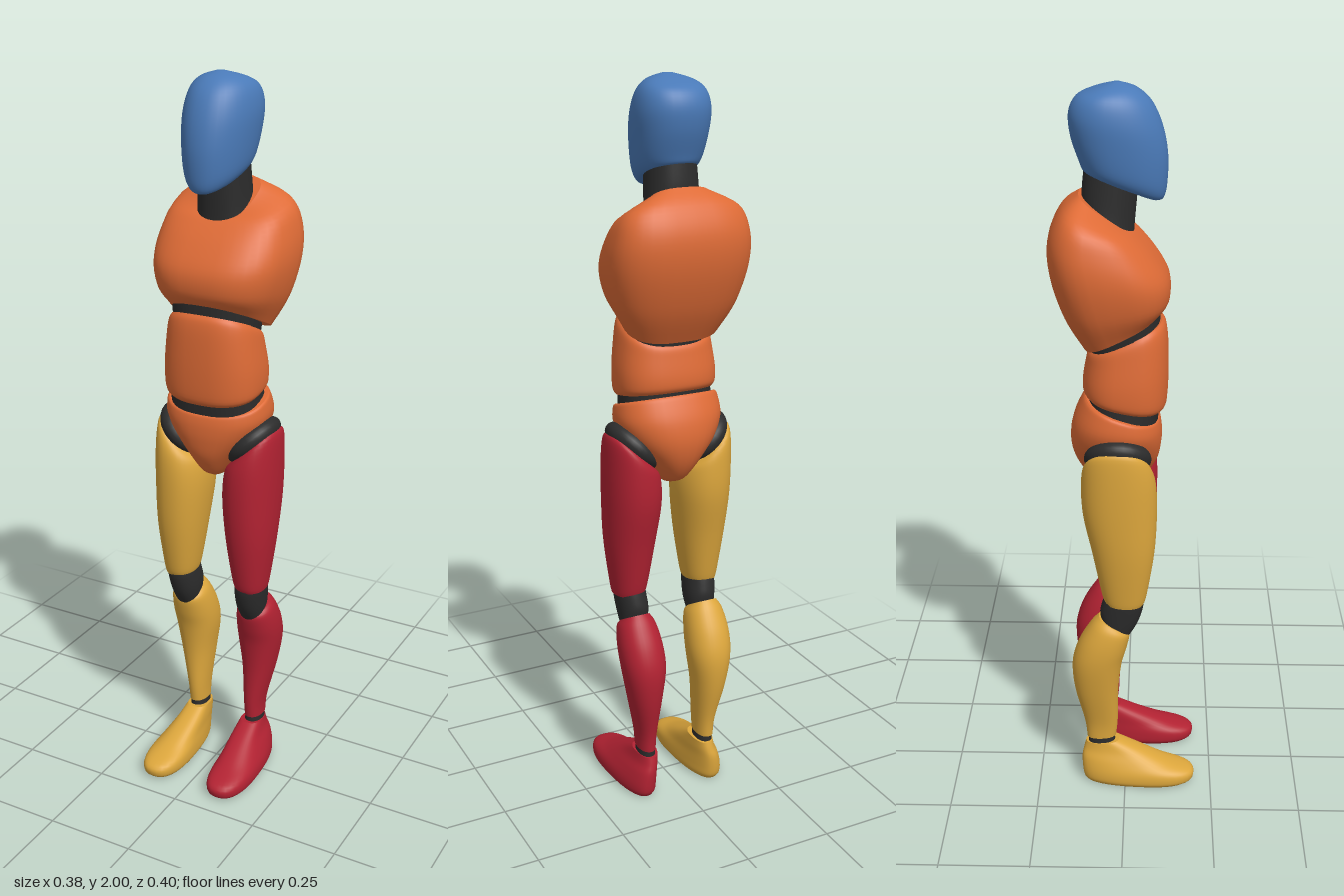
import * as THREE from 'three';

const mat = (name, color) => {
  const m = new THREE.MeshStandardMaterial({ color });
  m.name = name;
  return m;
};

// Smooth closed loft through rings listed bottom to top.
// Ring: [front y, front z, back y, back z, half width, centre x, sideways tilt]
// power: squareness of the section, taper: extra width towards the front.
function loft(rings, { side = 1, power = 2.2, taper = 0, segs = 36, steps = 5 } = {}) {
  const at = (i) => rings[Math.max(0, Math.min(rings.length - 1, i))];
  const spline = (a, b, c, d, t) =>
    b + 0.5 * t * (c - a + t * (2 * a - 5 * b + 4 * c - d + t * (3 * (b - c) + d - a)));
  const rows = [];
  for (let i = 0; i < rings.length - 1; i++) {
    for (let s = 0; s < steps; s++) {
      rows.push([0, 1, 2, 3, 4, 5, 6].map((k) =>
        spline(at(i - 1)[k] || 0, at(i)[k] || 0, at(i + 1)[k] || 0, at(i + 2)[k] || 0, s / steps)));
    }
  }
  rows.push([0, 1, 2, 3, 4, 5, 6].map((k) => at(rings.length - 1)[k] || 0));

  const pos = [], idx = [];
  const round = (v) => Math.sign(v) * Math.abs(v) ** (2 / power);
  const addRing = ([yF, zF, yB, zB, rx, cx, tilt]) => {
    const first = pos.length / 3;
    for (let j = 0; j < segs; j++) {
      const a = (j / segs) * Math.PI * 2;
      const c = round(Math.cos(a)), s = round(Math.sin(a));
      pos.push(
        side * cx + rx * c * (1 + taper * s),
        (yF + yB) / 2 + ((yF - yB) / 2) * s + side * tilt * c,
        (zF + zB) / 2 + ((zF - zB) / 2) * s);
    }
    return first;
  };
  rows.forEach((row, i) => {
    const b = addRing(row), a = b - segs;
    for (let j = 0; i > 0 && j < segs; j++) {
      const k = (j + 1) % segs;
      idx.push(a + j, b + j, b + k, a + j, b + k, a + k);
    }
  });
  // End caps with their own vertices, so their rims stay crisp
  for (const [row, top] of [[rows[0], false], [rows[rows.length - 1], true]]) {
    const f = addRing(row), c = pos.length / 3;
    pos.push(side * row[5], (row[0] + row[2]) / 2, (row[1] + row[3]) / 2);
    for (let j = 0; j < segs; j++) {
      const k = (j + 1) % segs;
      if (top) idx.push(c, f + k, f + j);
      else idx.push(c, f + j, f + k);
    }
  }
  const g = new THREE.BufferGeometry();
  g.setAttribute('position', new THREE.Float32BufferAttribute(pos, 3));
  g.setIndex(idx);
  g.computeVertexNormals();
  return g;
}

export function createModel() {
  const model = new THREE.Group();
  model.name = 'mannequin';
  const blue = mat('blue', 0x4a7ab8);
  const orange = mat('orange', 0xde6b36);
  const yellow = mat('yellow', 0xdca63c);
  const red = mat('red', 0xb22232);
  const dark = mat('charcoal', 0x2c2c2c);

  const add = (parent, name, material, geometry) => {
    const m = new THREE.Mesh(geometry, material);
    m.name = name;
    parent.add(m);
    return m;
  };

  // Head and neck
  add(model, 'head', blue, loft([
    [1.71, 0.08, 1.785, -0.09, 0.05],
    [1.717, 0.095, 1.787, -0.108, 0.067],
    [1.75, 0.103, 1.81, -0.118, 0.082],
    [1.82, 0.105, 1.87, -0.138, 0.092],
    [1.89, 0.093, 1.925, -0.143, 0.095],
    [1.95, 0.067, 1.965, -0.125, 0.084],
    [1.985, 0.03, 1.985, -0.085, 0.058],
    [2.0, -0.012, 2.0, -0.032, 0.012],
  ], { taper: -0.14 }));
  add(model, 'neck', dark, loft([
    [1.6, 0.02, 1.68, -0.11, 0.075],
    [1.65, 0.022, 1.73, -0.112, 0.07],
    [1.74, 0.03, 1.8, -0.105, 0.066],
  ]));

  // Torso segments with dark joints between them
  add(model, 'chest', orange, loft([
    [1.42, 0.085, 1.33, -0.11, 0.13],
    [1.455, 0.112, 1.42, -0.16, 0.168],
    [1.515, 0.112, 1.53, -0.195, 0.188],
    [1.58, 0.072, 1.62, -0.198, 0.183],
    [1.63, 0.025, 1.69, -0.167, 0.156],
    [1.645, 0.0, 1.73, -0.12, 0.08],
  ], { power: 2.8, taper: -0.1 }));
  add(model, 'ribJoint', dark, loft([
    [1.34, 0.09, 1.27, -0.09, 0.11],
    [1.45, 0.09, 1.37, -0.1, 0.122],
  ], { power: 2.5 }));
  add(model, 'abdomen', orange, loft([
    [1.155, 0.097, 1.195, -0.105, 0.127],
    [1.175, 0.109, 1.21, -0.114, 0.136],
    [1.25, 0.113, 1.24, -0.114, 0.137],
    [1.34, 0.111, 1.285, -0.106, 0.129],
    [1.385, 0.105, 1.31, -0.1, 0.123],
    [1.402, 0.095, 1.322, -0.09, 0.115],
  ], { power: 2.5 }));
  add(model, 'waistJoint', dark, loft([
    [1.09, 0.084, 1.15, -0.1, 0.128],
    [1.18, 0.092, 1.22, -0.1, 0.124],
  ], { power: 2.5 }));
  add(model, 'pelvis', orange, loft([
    [0.93, 0.025, 0.93, -0.06, 0.022],
    [0.95, 0.055, 0.95, -0.1, 0.04],
    [1.0, 0.085, 1.0, -0.134, 0.078],
    [1.05, 0.096, 1.06, -0.149, 0.122],
    [1.09, 0.097, 1.12, -0.142, 0.146],
    [1.118, 0.092, 1.175, -0.118, 0.144],
    [1.125, 0.086, 1.187, -0.108, 0.138],
  ], { power: 2.3 }));

  // Legs, mirrored: the left one is red, the right one yellow
  for (const [side, label, color] of [[1, 'left', red], [-1, 'right', yellow]]) {
    const leg = new THREE.Group();
    leg.name = label + 'Leg';
    model.add(leg);

    const hip = add(leg, 'hipJoint', dark, new THREE.SphereGeometry(1, 32, 20));
    hip.scale.set(0.086, 0.045, 0.09);
    hip.position.set(side * 0.103, 1.037, -0.02);
    hip.rotation.z = side * 0.77;

    add(leg, 'thigh', color, loft([
      [0.6, 0.05, 0.605, -0.055, 0.042, 0.112],
      [0.63, 0.06, 0.635, -0.065, 0.049, 0.11],
      [0.76, 0.08, 0.76, -0.09, 0.066, 0.108],
      [0.88, 0.086, 0.88, -0.115, 0.075, 0.105],
      [0.97, 0.082, 0.97, -0.118, 0.073, 0.108, 0.02],
      [1.02, 0.066, 1.02, -0.11, 0.062, 0.115, 0.045],
      [1.045, 0.038, 1.045, -0.085, 0.036, 0.128, 0.035],
    ], { side }));
    add(leg, 'kneeJoint', dark, loft([
      [0.485, 0.005, 0.54, -0.065, 0.036, 0.105],
      [0.54, 0.036, 0.57, -0.07, 0.041, 0.105],
      [0.6, 0.052, 0.6, -0.064, 0.042, 0.108],
      [0.63, 0.045, 0.63, -0.055, 0.04, 0.11],
    ], { side }));
    add(leg, 'shin', color, loft([
      [0.145, -0.027, 0.14, -0.111, 0.025, 0.093],
      [0.2, -0.022, 0.2, -0.118, 0.029, 0.094],
      [0.31, -0.02, 0.31, -0.143, 0.046, 0.101],
      [0.4, -0.01, 0.4, -0.15, 0.06, 0.103],
      [0.455, 0.004, 0.47, -0.132, 0.061, 0.105],
      [0.5, 0.013, 0.53, -0.098, 0.053, 0.106],
      [0.513, 0.006, 0.558, -0.074, 0.04, 0.106],
    ], { side }));
    add(leg, 'ankleJoint', dark, loft([
      [0.1, -0.028, 0.1, -0.108, 0.026, 0.092],
      [0.17, -0.032, 0.16, -0.106, 0.022, 0.093],
    ], { side }));
    add(leg, 'foot', color, loft([
      [0, 0.185, 0, -0.112, 0.05, 0.106],
      [0.014, 0.2, 0.014, -0.121, 0.058, 0.106],
      [0.04, 0.194, 0.04, -0.125, 0.057, 0.105],
      [0.064, 0.125, 0.075, -0.126, 0.047, 0.1],
      [0.098, 0.05, 0.1, -0.121, 0.037, 0.093],
      [0.13, -0.018, 0.122, -0.115, 0.03, 0.09],
    ], { side, taper: 0.16, power: 2.4 }));
  }
  return model;
}
